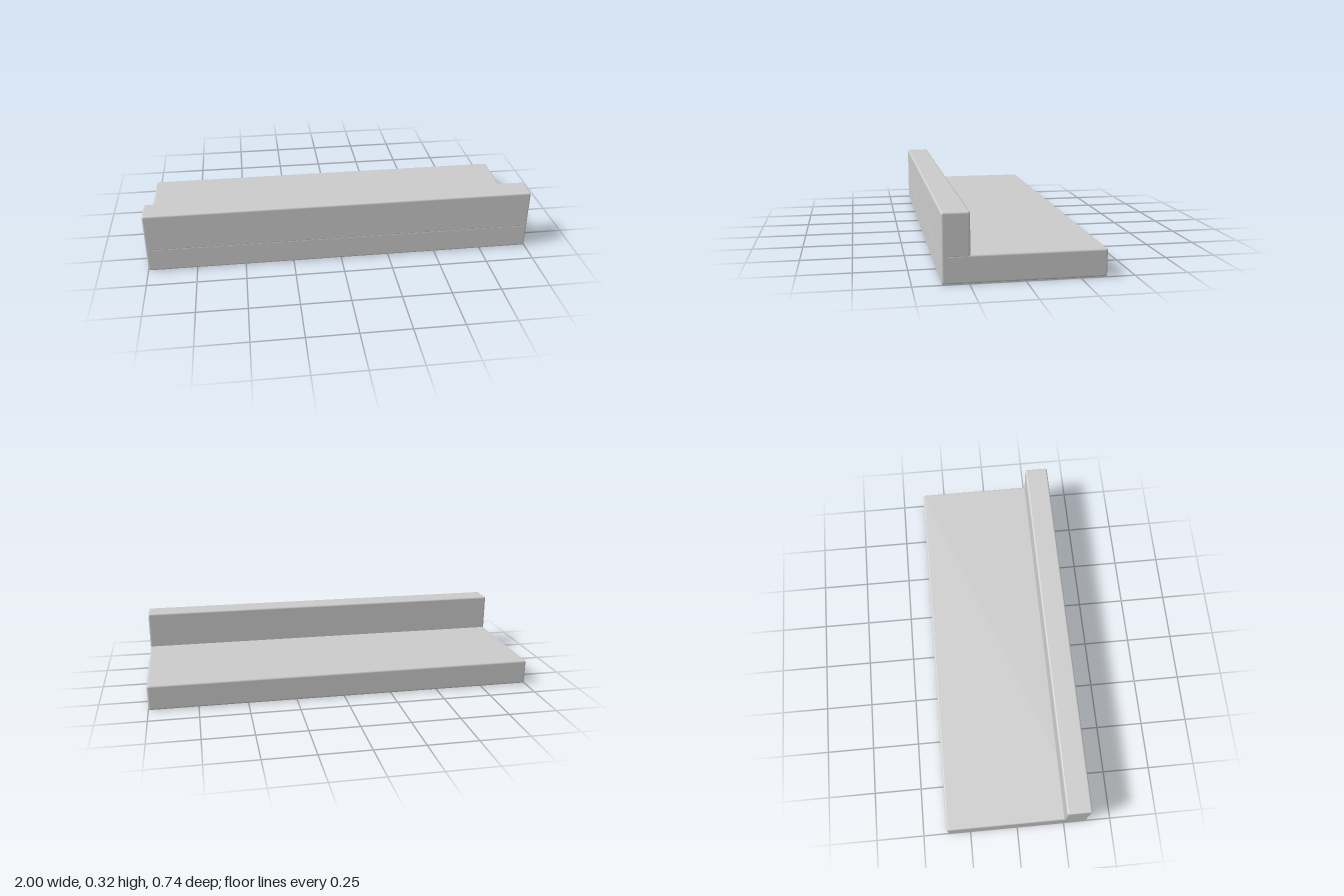
import * as THREE from 'three';
import { RoundedBoxGeometry } from 'three/addons/geometries/RoundedBoxGeometry.js';

const WIDTH = 2;
const BEVEL = 0.01;
const FRONT = 0.372;

export function createModel() {
  const group = new THREE.Group();
  group.name = 'ledge';
  const material = new THREE.MeshStandardMaterial({ color: 0xcccccc });

  // Full-width softened slab between two heights and two depths
  function addSlab(name, y0, y1, z0, z1) {
    const geometry = new RoundedBoxGeometry(WIDTH, y1 - y0, z1 - z0, 4, BEVEL);
    const mesh = new THREE.Mesh(geometry, material);
    mesh.name = name;
    mesh.position.set(0, (y0 + y1) / 2, (z0 + z1) / 2);
    group.add(mesh);
  }

  // Flat base board
  addSlab('base', 0, 0.13, -FRONT, FRONT);
  // Upright lip along the front edge, sunk slightly into the base
  addSlab('frontLip', 0.118, 0.321, 0.245, FRONT);

  return group;
}
